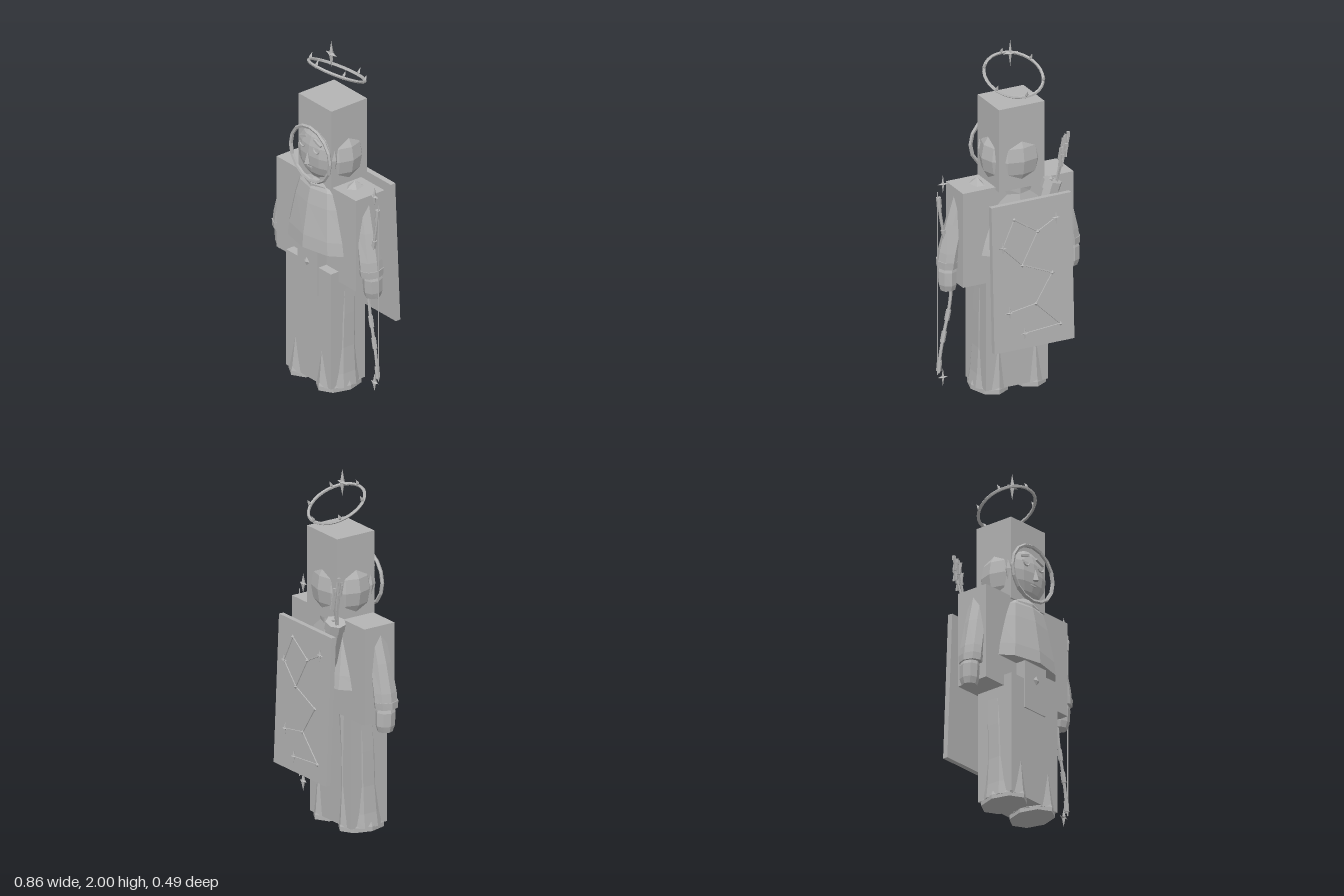
import * as THREE from 'three';

const grey = new THREE.MeshStandardMaterial({ color: 0xb4b4b4, flatShading: true });
grey.name = 'stone grey';

const V = (x, y, z) => new THREE.Vector3(x, y, z);

export function createModel() {
  const model = new THREE.Group();
  model.name = 'robedArcher';
  const root = new THREE.Group();
  root.name = 'figure';
  root.position.x = -0.0075;
  model.add(root);

  const add = (name, geo, pos = [0, 0, 0], parent = root) => {
    const m = new THREE.Mesh(geo, grey);
    m.name = name;
    m.position.set(...pos);
    parent.add(m);
    return m;
  };

  // box given by its limits
  const block = (name, x0, x1, y0, y1, z0, z1, parent) =>
    add(name, new THREE.BoxGeometry(x1 - x0, y1 - y0, z1 - z0),
      [(x0 + x1) / 2, (y0 + y1) / 2, (z0 + z1) / 2], parent);

  // closed loft through elliptical rings [cx, y, cz, rx, rz], bottom ring first
  const loft = (rings, n) => {
    const pos = [], idx = [];
    for (const [cx, y, cz, rx, rz] of rings)
      for (let j = 0; j < n; j++) {
        const a = (j / n) * Math.PI * 2;
        pos.push(cx + rx * Math.sin(a), y, cz + rz * Math.cos(a));
      }
    for (let i = 0; i < rings.length - 1; i++)
      for (let j = 0; j < n; j++) {
        const k = (j + 1) % n, a = i * n, b = a + n;
        idx.push(a + j, a + k, b + j, a + k, b + k, b + j);
      }
    const top = (rings.length - 1) * n;
    for (let j = 1; j < n - 1; j++) {
      idx.push(0, j + 1, j);
      idx.push(top, top + j, top + j + 1);
    }
    const g = new THREE.BufferGeometry();
    g.setAttribute('position', new THREE.Float32BufferAttribute(pos, 3));
    g.setIndex(idx);
    g.computeVertexNormals();
    return g;
  };

  // four-pointed star with a raised centre on both sides
  const star = (rx, ry, rz) => {
    const pts = [];
    for (let i = 0; i < 8; i++) {
      const a = (i / 8) * Math.PI * 2, s = i % 2 ? 0.28 : 1;
      const r = i % 2 ? Math.min(rx, ry) : 1;
      pts.push(i % 2 ? V(Math.cos(a) * r * s, Math.sin(a) * r * s, 0)
        : V(Math.cos(a) * rx, Math.sin(a) * ry, 0));
    }
    const tri = [];
    pts.forEach((p, i) => {
      const q = pts[(i + 1) % 8];
      tri.push(p, q, V(0, 0, rz), q, p, V(0, 0, -rz));
    });
    const g = new THREE.BufferGeometry().setFromPoints(tri);
    g.computeVertexNormals();
    return g;
  };

  const gem = (rx, ry, rz) => new THREE.OctahedronGeometry(1).scale(rx, ry, rz);

  // straight rod between two points
  const rod = (name, a, b, r0, r1 = r0, sides = 6, parent = root) => {
    const d = b.clone().sub(a);
    const m = add(name, new THREE.CylinderGeometry(r1, r0, d.length(), sides),
      a.clone().add(b).multiplyScalar(0.5).toArray(), parent);
    m.quaternion.setFromUnitVectors(V(0, 1, 0), d.normalize());
    return m;
  };

  // main blocks
  block('headBlock', -0.138, 0.138, 1.19, 1.667, -0.085, 0.16);
  block('torsoBlock', -0.333, 0.333, 0.66, 1.205, -0.045, 0.152);
  block('legBlock', -0.188, 0.188, 0.025, 0.72, -0.03, 0.205);
  block('tabard', -0.085, 0.085, 0.55, 0.83, 0.14, 0.212);
  add('buckle', gem(0.024, 0.026, 0.012), [0, 0.73, 0.218]);

  // shoulder mantle and neck collar
  add('mantle', loft([[0, 0.825, 0.058, 0.283, 0.19], [0, 0.9, 0.062, 0.27, 0.18],
    [0, 1.08, 0.068, 0.225, 0.145], [0, 1.165, 0.07, 0.195, 0.125], [0, 1.2, 0.07, 0.15, 0.105]], 10));
  add('collar', loft([[0, 1.15, 0.06, 0.12, 0.13], [0, 1.19, 0.06, 0.15, 0.13],
    [0, 1.22, 0.06, 0.13, 0.11]], 10));
  add('shoulderFold', new THREE.ConeGeometry(0.08, 0.05, 5).scale(0.7, 1, 1), [0.2, 1.215, 0.05]);

  // hood, face and face rim
  add('hood', new THREE.SphereGeometry(1, 12, 8).scale(0.178, 0.195, 0.155), [0, 1.35, 0.04]);
  add('face', new THREE.SphereGeometry(1, 12, 8).scale(0.15, 0.15, 0.07), [0, 1.365, 0.137]);
  add('faceRim', new THREE.TorusGeometry(0.165, 0.011, 5, 16).scale(1, 0.96, 1), [0, 1.368, 0.192]);
  add('nose', new THREE.ConeGeometry(0.018, 0.07, 4).scale(1, 1, 1.3), [0, 1.355, 0.212]);
  add('mouth', new THREE.BoxGeometry(0.04, 0.008, 0.008), [0, 1.295, 0.197]);
  for (const s of [-1, 1]) {
    const brow = add('brow', new THREE.BoxGeometry(0.06, 0.012, 0.012), [s * 0.06, 1.455, 0.192]);
    brow.rotation.z = -s * 0.35;
    const eye = add('eyelid', new THREE.TorusGeometry(0.024, 0.005, 4, 6, Math.PI), [s * 0.058, 1.42, 0.198]);
    eye.rotation.z = Math.PI;
  }

  // sleeves, cuffs, hands, trousers and boots
  for (const s of [-1, 1]) {
    add('sleeve', loft([[s * 0.365, 0.78, 0.072, 0.056, 0.07], [s * 0.355, 0.84, 0.072, 0.058, 0.07],
      [s * 0.318, 1.0, 0.068, 0.058, 0.062], [s * 0.27, 1.18, 0.06, 0.055, 0.055]], 8));
    add('cuff', loft([[s * 0.367, 0.75, 0.073, 0.058, 0.068], [s * 0.365, 0.79, 0.073, 0.06, 0.073]], 8));
    add('hand', loft([[s * 0.368, 0.62, 0.065, 0.042, 0.042], [s * 0.37, 0.655, 0.065, 0.05, 0.054],
      [s * 0.37, 0.73, 0.068, 0.052, 0.056], [s * 0.367, 0.76, 0.07, 0.045, 0.05]], 8));
    add('trouserLeg', loft([[s * 0.115, 0.02, 0.09, 0.1, 0.137], [s * 0.113, 0.1, 0.088, 0.092, 0.13],
      [s * 0.11, 0.25, 0.085, 0.086, 0.118], [s * 0.108, 0.45, 0.08, 0.088, 0.114],
      [s * 0.1, 0.7, 0.07, 0.09, 0.11]], 10));
    add('boot', loft([[s * 0.115, 0, 0.09, 0.101, 0.14], [s * 0.115, 0.025, 0.09, 0.101, 0.14],
      [s * 0.113, 0.06, 0.09, 0.09, 0.13]], 8));
  }

  // tilted halo with six spikes, and the star above it
  const halo = new THREE.Group();
  halo.name = 'halo';
  halo.position.set(0, 1.81, 0.01);
  halo.rotation.x = -0.47;
  root.add(halo);
  const ring = add('haloRing', new THREE.TorusGeometry(0.162, 0.009, 5, 32), [0, 0, 0], halo);
  ring.rotation.x = Math.PI / 2;
  for (let i = 0; i < 6; i++) {
    const a = (i * Math.PI) / 3;
    add('haloSpike', gem(0.01, 0.028, 0.01), [0.162 * Math.sin(a), 0.014, 0.162 * Math.cos(a)], halo);
  }
  add('crownStar', star(0.047, 0.077, 0.016), [0, 1.923, 0.048]);

  // bow with string, wraps and end stars
  const bowPoints = [[0.42, 1.16], [0.408, 1.05], [0.385, 0.93], [0.35, 0.78], [0.342, 0.65],
    [0.352, 0.53], [0.385, 0.37], [0.408, 0.25], [0.42, 0.14]].map(([x, y]) => V(x, y, 0.072));
  const bowCurve = new THREE.CatmullRomCurve3(bowPoints);
  add('bowLimb', new THREE.TubeGeometry(bowCurve, 24, 0.009, 6));
  rod('bowString', V(0.426, 0.13, 0.072), V(0.426, 1.19, 0.072), 0.003);
  for (const t of [0.03, 0.22, 0.32, 0.5, 0.68, 0.8, 0.96]) {
    const p = bowCurve.getPointAt(t), d = bowCurve.getTangentAt(t).multiplyScalar(0.03);
    rod('bowWrap', p.clone().sub(d), p.clone().add(d), 0.014);
  }
  for (const y of [1.23, 0.11]) add('bowStar', star(0.032, 0.055, 0.014), [0.393, y, 0.072]);

  // quiver with arrows
  rod('quiver', V(-0.02, 0.75, -0.095), V(-0.165, 1.2, -0.115), 0.04, 0.05, 7);
  rod('quiverRim', V(-0.153, 1.17, -0.113), V(-0.168, 1.215, -0.115), 0.056, 0.056, 7);
  add('quiverGem', gem(0.015, 0.02, 0.015), [-0.157, 1.225, -0.122]);
  [[-0.245, 1.48, -0.15], [-0.225, 1.42, -0.165], [-0.215, 1.39, -0.135], [-0.235, 1.45, -0.13],
    [-0.205, 1.36, -0.16]].forEach(([x, y, z], i) => {
    const tip = V(x, y, z);
    const base = V(-0.175 - 0.006 * (i % 3), 1.15, -0.11 - 0.008 * (i % 2));
    rod('arrowShaft', base, tip, 0.005, 0.005, 5);
    const low = tip.clone().lerp(base, 0.28);
    for (const turn of [0, Math.PI / 2]) {
      const f = add('fletching', new THREE.BoxGeometry(0.03, 0.065, 0.005), low.clone().lerp(tip, 0.6).toArray());
      f.rotation.set(0, turn, 0.2);
    }
    add('arrowNock', new THREE.BoxGeometry(0.014, 0.025, 0.014), tip.toArray());
  });

  // tilted back panel with a raised star chart
  const panel = new THREE.Group();
  panel.name = 'backPanel';
  panel.position.set(0, 0.742, -0.198);
  panel.rotation.x = 0.042;
  root.add(panel);
  add('panelBoard', new THREE.BoxGeometry(0.482, 0.835, 0.03), [0, 0, 0], panel);
  const chart = [[0.28, 0.11], [0.57, 0.22], [0.8, 0.15], [0.13, 0.29], [0.37, 0.43],
    [0.74, 0.52], [0.53, 0.71], [0.2, 0.74], [0.83, 0.88], [0.38, 0.9]]
    .map(([u, v]) => V(0.241 - u * 0.482, 0.4175 - v * 0.835, -0.017));
  for (const [a, b] of [[0, 1], [1, 2], [0, 3], [3, 4], [1, 4], [4, 5], [5, 6], [6, 7], [6, 8], [8, 9]])
    rod('chartLine', chart[a], chart[b], 0.004, 0.004, 5, panel);
  chart.forEach((p, i) => {
    const big = [2, 3, 7, 9].includes(i);
    add(big ? 'chartStar' : 'chartDot', big ? star(0.026, 0.036, 0.012) : gem(0.013, 0.013, 0.012), p.toArray(), panel);
  });

  return model;
}
